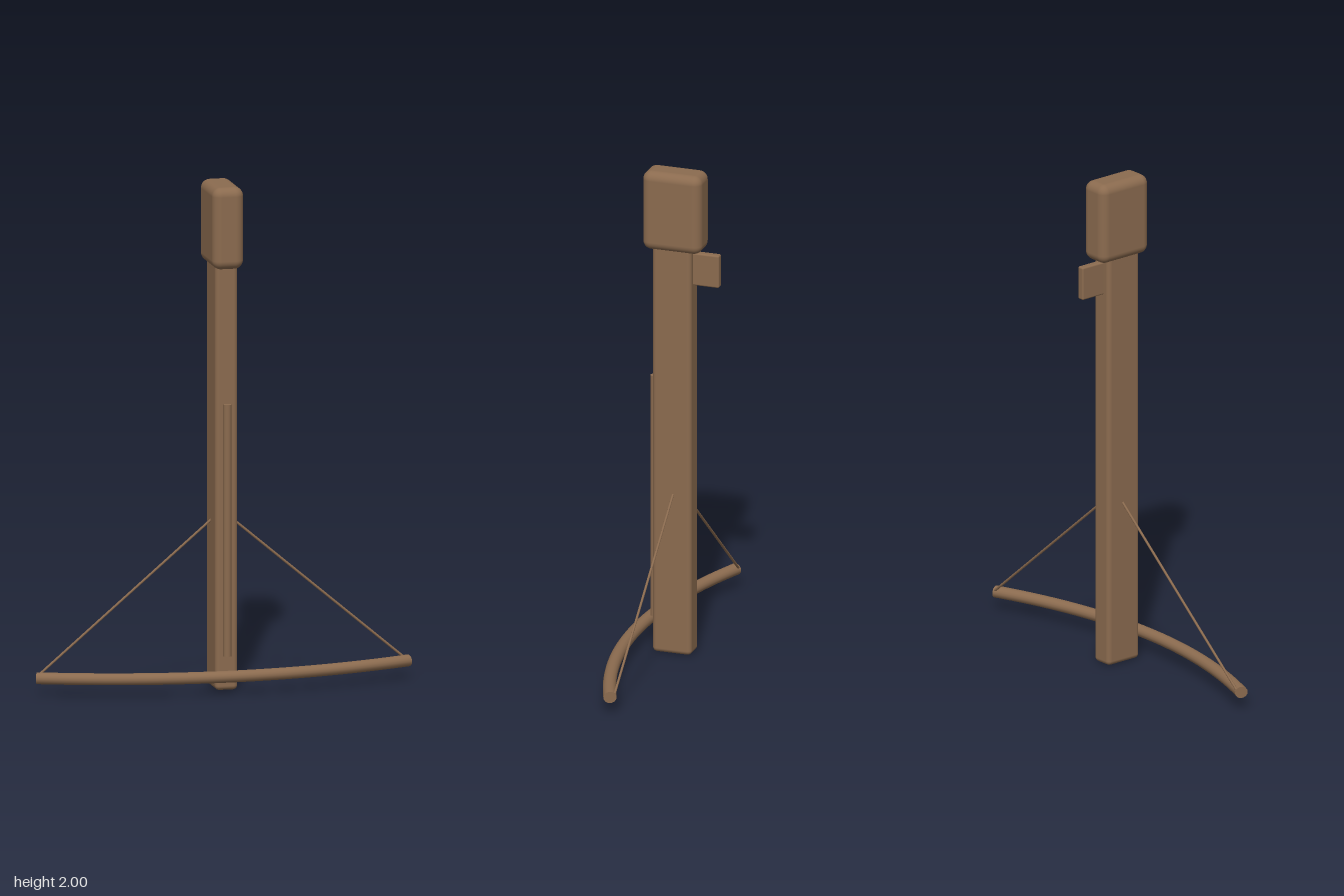
import * as THREE from 'three';
import { RoundedBoxGeometry } from 'three/addons/geometries/RoundedBoxGeometry.js';

export function createModel() {
  const group = new THREE.Group();
  group.name = 'crossbow';
  const wood = new THREE.MeshStandardMaterial({ color: 0x8b6b4f });
  wood.name = 'brown wood';

  const add = (name, geometry, x = 0, y = 0, z = 0) => {
    const mesh = new THREE.Mesh(geometry, wood);
    mesh.name = name;
    mesh.position.set(x, y, z);
    group.add(mesh);
    return mesh;
  };

  // Upright stock, thick butt and trigger tab
  add('stock', new RoundedBoxGeometry(0.09, 1.74, 0.16, 4, 0.018), 0, 0.87, 0);
  add('butt', new RoundedBoxGeometry(0.124, 0.325, 0.243, 5, 0.035), 0, 1.8375, -0.002);
  add('trigger', new RoundedBoxGeometry(0.03, 0.135, 0.13, 3, 0.007), 0, 1.603, -0.121);

  // Bolt lying half sunk in the stock
  add('bolt', new THREE.CylinderGeometry(0.016, 0.016, 1, 16), 0, 0.637, 0.085);

  // Curved bow limb with capped ends
  const limb = new THREE.QuadraticBezierCurve3(
    new THREE.Vector3(-0.745, 0, 0.008),
    new THREE.Vector3(0, 0, 0.306),
    new THREE.Vector3(0.745, 0, 0.008)
  );
  const squash = 0.9;
  add('bowLimb', new THREE.TubeGeometry(limb, 40, 0.026, 16), 0, 0.07, 0).scale.y = squash;
  for (const t of [0, 1]) {
    const end = limb.getPoint(t);
    const outward = limb.getTangent(t).multiplyScalar(t ? 1 : -1);
    const cap = add('bowTip', new THREE.CircleGeometry(0.026, 16), end.x, 0.07, end.z);
    cap.quaternion.setFromUnitVectors(new THREE.Vector3(0, 0, 1), outward);
    cap.scale.y = squash;
  }

  // Drawn string, one straight run per side
  for (const side of [-1, 1]) {
    const a = new THREE.Vector3(side * 0.735, 0.078, -0.006);
    const b = new THREE.Vector3(0, 0.7, -0.006);
    const run = b.clone().sub(a);
    const string = add('bowString', new THREE.CylinderGeometry(0.005, 0.005, run.length(), 8));
    string.position.copy(a).add(b).multiplyScalar(0.5);
    string.quaternion.setFromUnitVectors(new THREE.Vector3(0, 1, 0), run.normalize());
  }

  return group;
}
